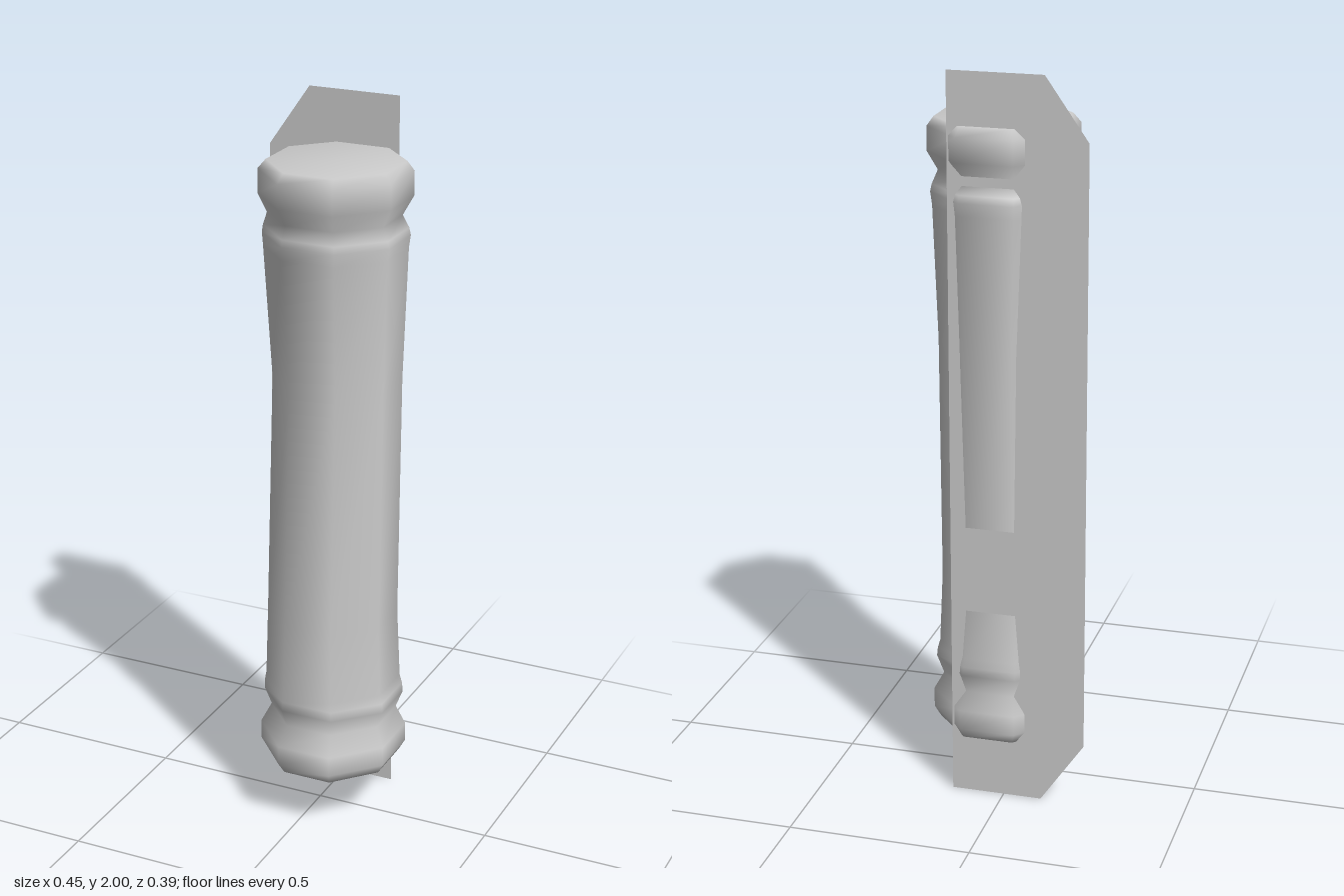
import * as THREE from 'three';

// Column sections from bottom to top: y, left x, right x, back z, front z
const SECTIONS = [
  [0.165, -0.125, 0.208, -0.178, 0.178],
  [0.195, -0.145, 0.225, -0.193, 0.195],
  [0.25, -0.145, 0.225, -0.193, 0.195],
  [0.30, -0.122, 0.198, -0.170, 0.158],
  [0.35, -0.140, 0.217, -0.180, 0.172],
  [0.375, -0.140, 0.214, -0.180, 0.168],
  [0.40, -0.136, 0.207, -0.177, 0.165],
  [0.60, -0.130, 0.200, -0.164, 0.157],
  [1.27, -0.120, 0.198, -0.179, 0.136],
  [1.63, -0.138, 0.212, -0.184, 0.156],
  [1.665, -0.140, 0.217, -0.185, 0.159],
  [1.685, -0.137, 0.213, -0.181, 0.157],
  [1.72, -0.125, 0.200, -0.160, 0.148],
  [1.77, -0.145, 0.225, -0.193, 0.180],
  [1.835, -0.145, 0.225, -0.193, 0.180],
  [1.86, -0.125, 0.208, -0.175, 0.162],
];

// Chamfered rectangle with eight corners, ordered from +z towards +x
function octagon([y, x0, x1, z0, z1]) {
  const cx = (x1 - x0) * 0.296, cz = (z1 - z0) * 0.3;
  return [
    [x0 + cx, y, z1], [x1 - cx, y, z1], [x1, y, z1 - cz], [x1, y, z0 + cz],
    [x1 - cx, y, z0], [x0 + cx, y, z0], [x0, y, z0 + cz], [x0, y, z1 - cz],
  ];
}

function columnGeometry() {
  const pos = SECTIONS.flatMap(octagon).flat();
  const index = [];
  const n = 8, last = SECTIONS.length - 1;
  for (let r = 0; r < last; r++) {
    for (let i = 0; i < n; i++) {
      const a = r * n + i, b = r * n + (i + 1) % n;
      index.push(a, b, b + n, a, b + n, a + n);
    }
  }
  // End caps share the rim so the shading rolls over the edge
  for (const r of [0, last]) {
    const [y, x0, x1, z0, z1] = SECTIONS[r];
    const centre = pos.length / 3;
    pos.push((x0 + x1) / 2, y, (z0 + z1) / 2);
    for (let i = 0; i < n; i++) {
      const a = r * n + i, b = r * n + (i + 1) % n;
      if (r) index.push(a, b, centre);
      else index.push(b, a, centre);
    }
  }
  const geo = new THREE.BufferGeometry();
  geo.setAttribute('position', new THREE.Float32BufferAttribute(pos, 3));
  geo.setIndex(index);
  geo.computeVertexNormals();
  return geo;
}

export function createModel() {
  const group = new THREE.Group();

  // Eight-sided column with a flared cap and base
  const column = new THREE.Mesh(columnGeometry(), new THREE.MeshStandardMaterial({ color: 0xcccccc }));
  column.name = 'column';

  // Thin wall panel behind the column, chamfered along one side
  const outline = [[-0.105, 0], [0.145, 0], [0.145, 2], [-0.11, 2], [-0.225, 1.835], [-0.225, 0.175]];
  const panel = new THREE.Mesh(
    new THREE.ShapeGeometry(new THREE.Shape(outline.map(([x, y]) => new THREE.Vector2(x, y)))),
    new THREE.MeshStandardMaterial({ color: 0xcccccc, side: THREE.DoubleSide }),
  );
  panel.position.z = -0.168;
  panel.name = 'backPanel';

  group.add(column, panel);
  return group;
}
